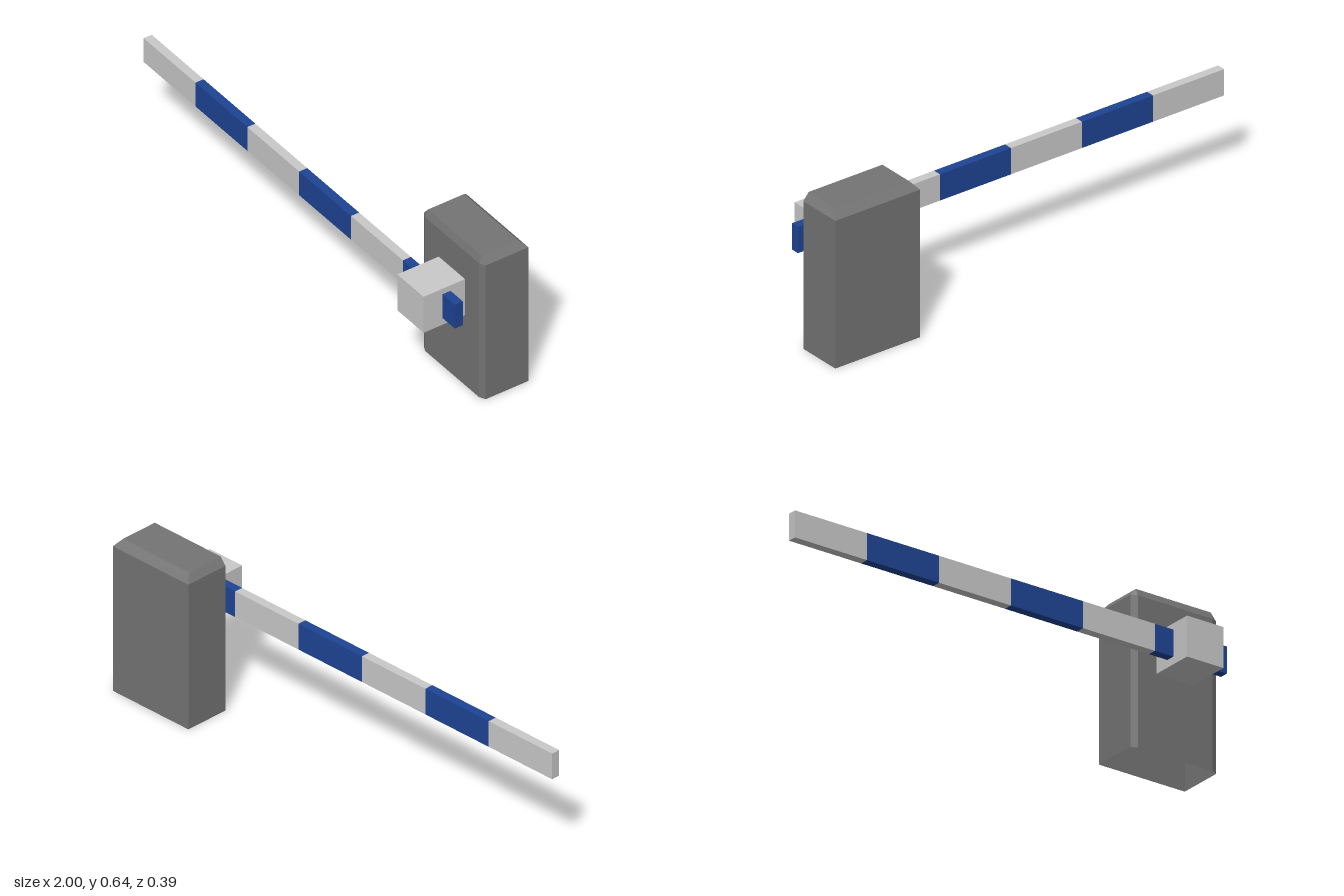
import * as THREE from 'three';

// Joins stacked loops of [x, y, z] points with flat walls and closes the last loop.
function loftShell(loops) {
  const pos = [];
  const tri = (a, b, c) => pos.push(...a, ...b, ...c);
  for (let l = 0; l < loops.length - 1; l++) {
    const lo = loops[l], hi = loops[l + 1];
    for (let i = 0; i < lo.length; i++) {
      const j = (i + 1) % lo.length;
      tri(lo[i], lo[j], hi[j]);
      tri(lo[i], hi[j], hi[i]);
    }
  }
  const top = loops[loops.length - 1];
  for (let i = 1; i < top.length - 1; i++) tri(top[0], top[i], top[i + 1]);
  const geo = new THREE.BufferGeometry();
  geo.setAttribute('position', new THREE.Float32BufferAttribute(pos, 3));
  geo.computeVertexNormals();
  return geo;
}

export function createModel() {
  const group = new THREE.Group();
  const material = (name, color, side = THREE.FrontSide) => {
    const m = new THREE.MeshStandardMaterial({ color, side });
    m.name = name;
    return m;
  };
  const postGrey = material('post grey', 0x747474, THREE.DoubleSide);
  const paleGrey = material('pale grey', 0xc9c9c9);
  const blue = material('stripe blue', 0x1e4494);

  const add = (name, geo, mat, x = 0, y = 0, z = 0) => {
    const mesh = new THREE.Mesh(geo, mat);
    mesh.name = name;
    mesh.position.set(x, y, z);
    group.add(mesh);
  };

  // Post housing: open underneath, bevelled front corners and a sloped cap
  const x0 = 0.61, x1 = 1, c0 = 0.635, c1 = 0.975;
  const back = -0.194, corner = -0.003, front = 0.009;
  const outline = [[x1, back], [x0, back], [x0, corner], [c0, front], [c1, front], [x1, corner]];
  const capOutline = [[c1, -0.166], [c0, -0.166], [c0, corner], [c0, corner], [c1, corner], [c1, corner]];
  const at = (points, y) => points.map(([x, z]) => [x, y, z]);
  add('post', loftShell([at(outline, 0), at(outline, 0.613), at(capOutline, 0.643)]), postGrey);

  // Pivot block on the front of the post
  add('pivotBlock', new THREE.BoxGeometry(0.166, 0.165, 0.185), paleGrey, 0.804, 0.4035, 0.1015);

  // Barrier arm: six alternating sections
  const length = 0.3275;
  for (let i = 0; i < 6; i++) {
    add(i % 2 ? 'blueArmSection' : 'paleArmSection',
      new THREE.BoxGeometry(length, 0.109, 0.036),
      i % 2 ? blue : paleGrey, -1 + length * (i + 0.5), 0.4065, 0.092);
  }
  return group;
}
